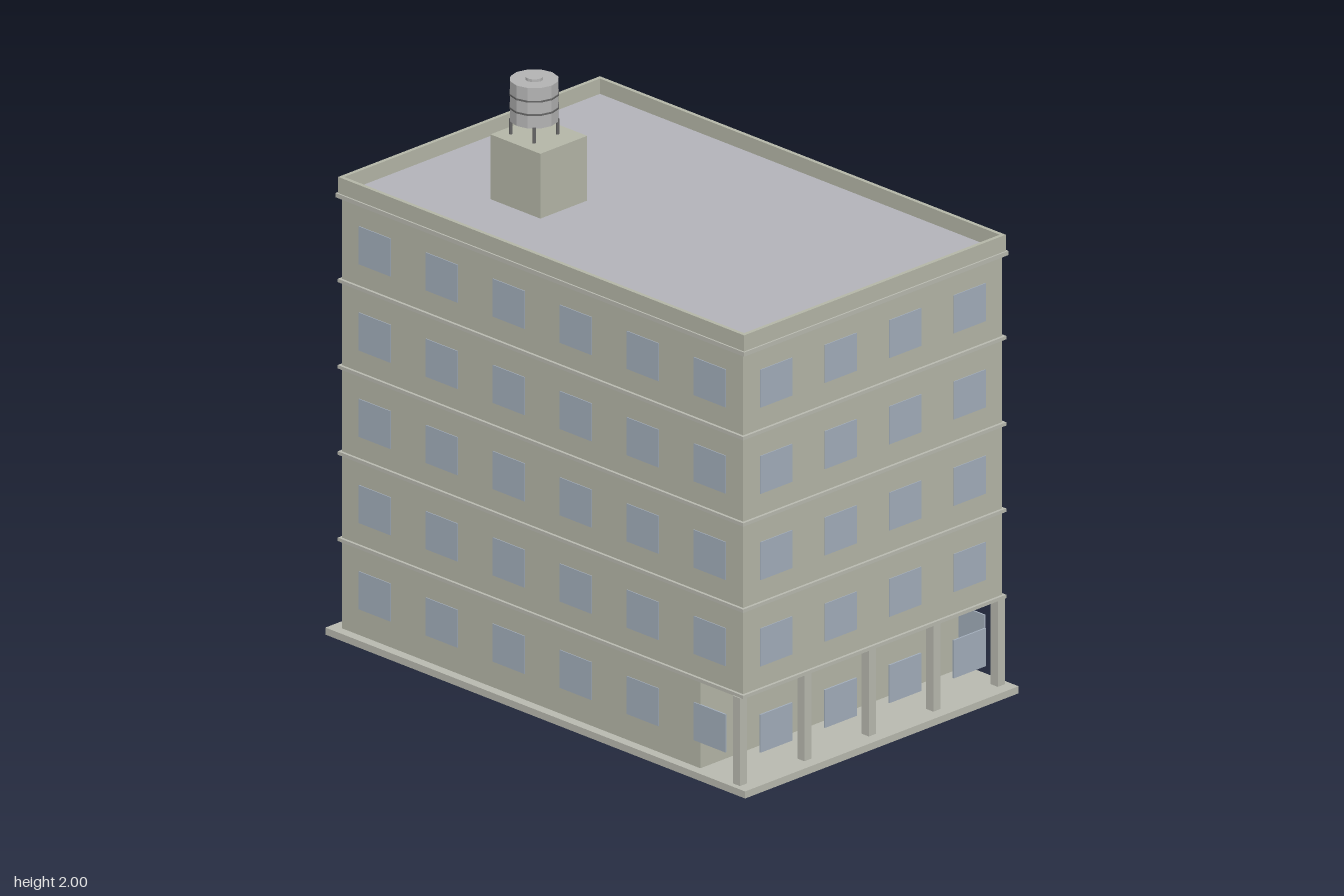
import * as THREE from 'three';

const mat = (color) => new THREE.MeshStandardMaterial({ color });

export function createModel() {
  const building = new THREE.Group();
  building.name = 'officeBuilding';

  const wall = mat(0xb5b7a8), trim = mat(0xb9bab0), glass = mat(0xa3aebb);
  const deck = mat(0xb4b4ba), metal = mat(0xb4b4b4), dark = mat(0x666666), grey = mat(0xcccccc);

  const HX = 0.928, HZ = 0.594, CZ = 0.004; // half width, half depth, depth centre
  const BASE = 0.025, FLOOR = 0.305, FIRST = 0.335, TOP = 1.555;

  const add = (name, geometry, material, x, y, z, parent = building) => {
    const mesh = new THREE.Mesh(geometry, material);
    mesh.name = name;
    mesh.position.set(x, y, z);
    parent.add(mesh);
    return mesh;
  };
  // box given by its limits on each axis
  const box = (name, material, [x0, x1], [y0, y1], [z0, z1], parent) =>
    add(name, new THREE.BoxGeometry(x1 - x0, y1 - y0, z1 - z0), material,
      (x0 + x1) / 2, (y0 + y1) / 2, (z0 + z1) / 2, parent);
  const group = (name) => {
    const g = new THREE.Group();
    g.name = name;
    building.add(g);
    return g;
  };

  // plinth, recessed ground floor and upper storeys
  box('plinth', trim, [-0.971, 0.971], [0, BASE], [CZ - 0.628, CZ + 0.628]);
  box('groundFloor', wall, [-HX, 0.73], [BASE, FIRST], [CZ - HZ, CZ + HZ]);
  box('upperFloors', wall, [-HX, HX], [FIRST - 0.005, TOP - 0.005], [CZ - HZ, CZ + HZ]);

  // string courses between storeys and the cornice under the parapet
  for (let i = 0; i < 4; i++) {
    const y = 0.34 + i * FLOOR;
    box('stringCourse', trim, [-HX - 0.01, HX + 0.01], [y - 0.006, y + 0.006],
      [CZ - HZ - 0.01, CZ + HZ + 0.01]);
  }
  box('cornice', trim, [-0.945, 0.945], [1.548, 1.563], [CZ - 0.607, CZ + 0.607]);

  // parapet as a rectangular ring around the roof deck
  const rectangle = (shape, hx, hz) =>
    shape.moveTo(-hx, -hz).lineTo(hx, -hz).lineTo(hx, hz).lineTo(-hx, hz).closePath();
  const ring = rectangle(new THREE.Shape(), 0.939, 0.601);
  ring.holes.push(rectangle(new THREE.Path(), 0.925, 0.587));
  const parapet = new THREE.ExtrudeGeometry(ring, { depth: 0.07, bevelEnabled: false });
  parapet.rotateX(-Math.PI / 2);
  add('parapet', parapet, wall, 0, 1.55, CZ);
  box('roofDeck', deck, [-0.925, 0.925], [1.55, 1.566], [CZ - 0.587, CZ + 0.587]);

  // arcade pillars along the left side
  const pillars = group('arcadePillars');
  for (let i = -2; i <= 2; i++) {
    const z = CZ + i * 0.296;
    box('pillar', trim, [0.894, 0.927], [BASE, FIRST], [z - 0.016, z + 0.016], pillars);
  }

  // window panes on all four sides; those in the arcade stand free
  const windows = group('windows');
  const W = 0.146, H = 0.134, T = 0.006;
  const longPane = new THREE.BoxGeometry(W, H, T);
  const sidePane = new THREE.BoxGeometry(T, H, W);
  for (let floor = 0; floor < 5; floor++) {
    const y = 0.184 + floor * FLOOR;
    for (const side of [-1, 1]) {
      for (let i = 0; i < 6; i++)
        add('window', longPane, glass, (i - 2.5) * 0.31, y, CZ + side * HZ, windows);
      for (let i = 0; i < 4; i++)
        add('window', sidePane, glass, side * HX, y, CZ + (i - 1.5) * 0.296, windows);
    }
  }

  // air conditioners up the back wall
  const units = group('airConditioners');
  for (let floor = 0; floor < 5; floor++) {
    const y = 0.13 + floor * FLOOR;
    box('airConditioner', grey, [-0.57, -0.485], [y - 0.03, y + 0.03], [-0.63, -0.588], units);
  }

  // roof hut with the water tank on four legs
  box('roofHut', wall, [-0.548, -0.317], [1.56, 1.795], [0.079, 0.294]);
  const tank = group('waterTank');
  tank.position.set(-0.45, 0, 0.19);
  const drum = (name, r, y0, y1, material, sides = 12) => {
    const m = material.clone();
    m.flatShading = true;
    return add(name, new THREE.CylinderGeometry(r, r, y1 - y0, sides), m, 0, (y0 + y1) / 2, 0, tank);
  };
  drum('tankBody', 0.081, 1.847, 1.99, metal);
  drum('tankLid', 0.03, 1.99, 2.0, metal);
  for (const y of [1.895, 1.942]) drum('tankHoop', 0.083, y - 0.003, y + 0.003, dark);
  for (const x of [-0.054, 0.054])
    for (const z of [-0.054, 0.054])
      drum('tankLeg', 0.006, 1.79, 1.85, dark, 6).position.set(x, 1.82, z);

  return building;
}
